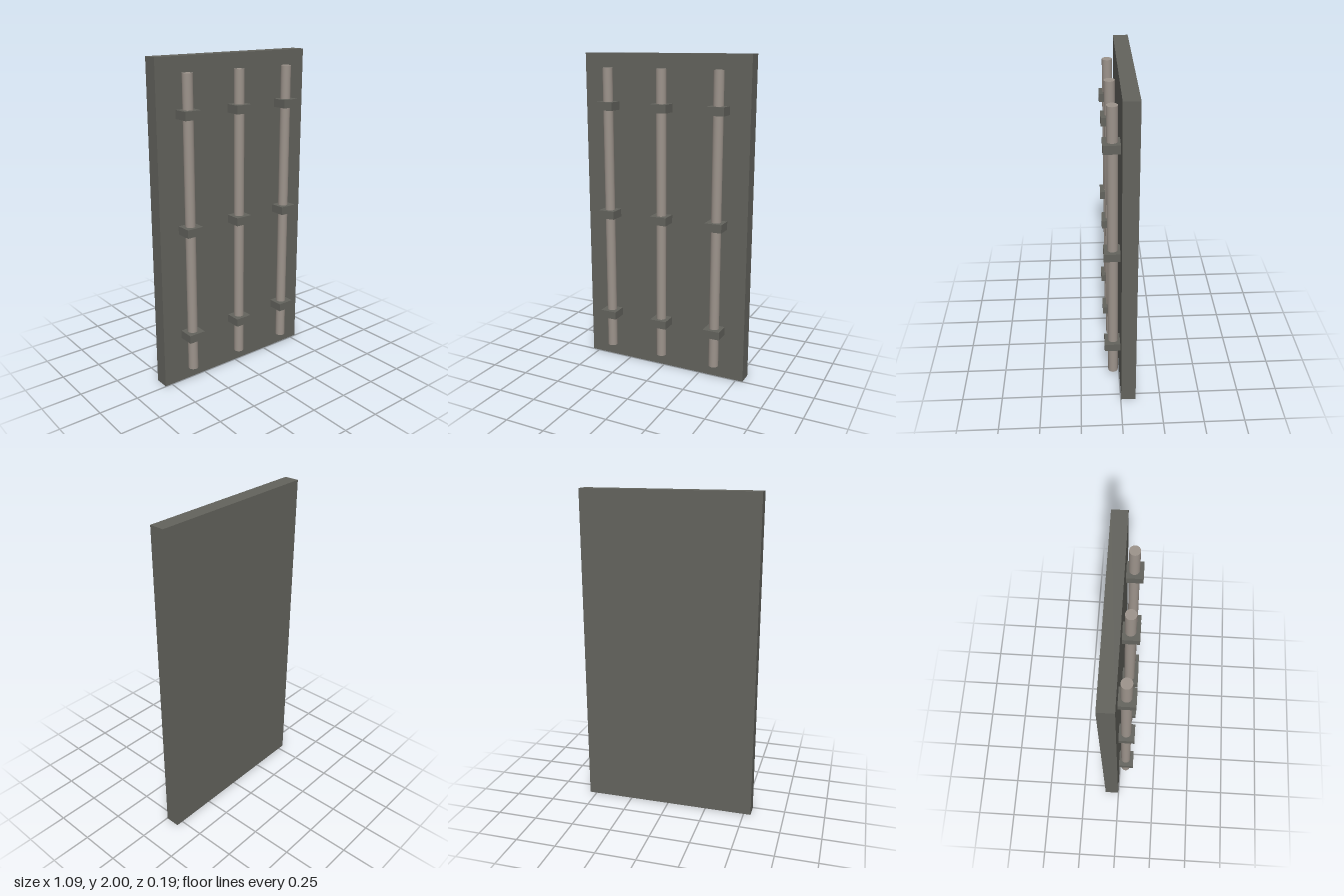
import * as THREE from 'three';

export function createModel() {
  const group = new THREE.Group();
  const slate = new THREE.MeshStandardMaterial({ name: 'dark grey', color: 0x63635d });
  const metal = new THREE.MeshStandardMaterial({ name: 'warm light grey', color: 0x9c938b });

  const add = (name, geometry, material, x, y, z) => {
    const mesh = new THREE.Mesh(geometry, material);
    mesh.name = name;
    mesh.position.set(x, y, z);
    group.add(mesh);
  };

  // Upright backing panel
  add('panel', new THREE.BoxGeometry(1.09, 2, 0.091), slate, 0, 1, -0.0485);

  // Three vertical rods, each held by three block clamps
  const rod = new THREE.CylinderGeometry(0.031, 0.031, 1.818, 24);
  const clamp = new THREE.BoxGeometry(0.108, 0.051, 0.097);
  for (const x of [-0.364, 0, 0.364]) {
    add('rod', rod, metal, x, 1.002, 0.041);
    for (const y of [0.32, 1, 1.683]) add('clamp', clamp, slate, x, y, 0.0455);
  }

  return group;
}
